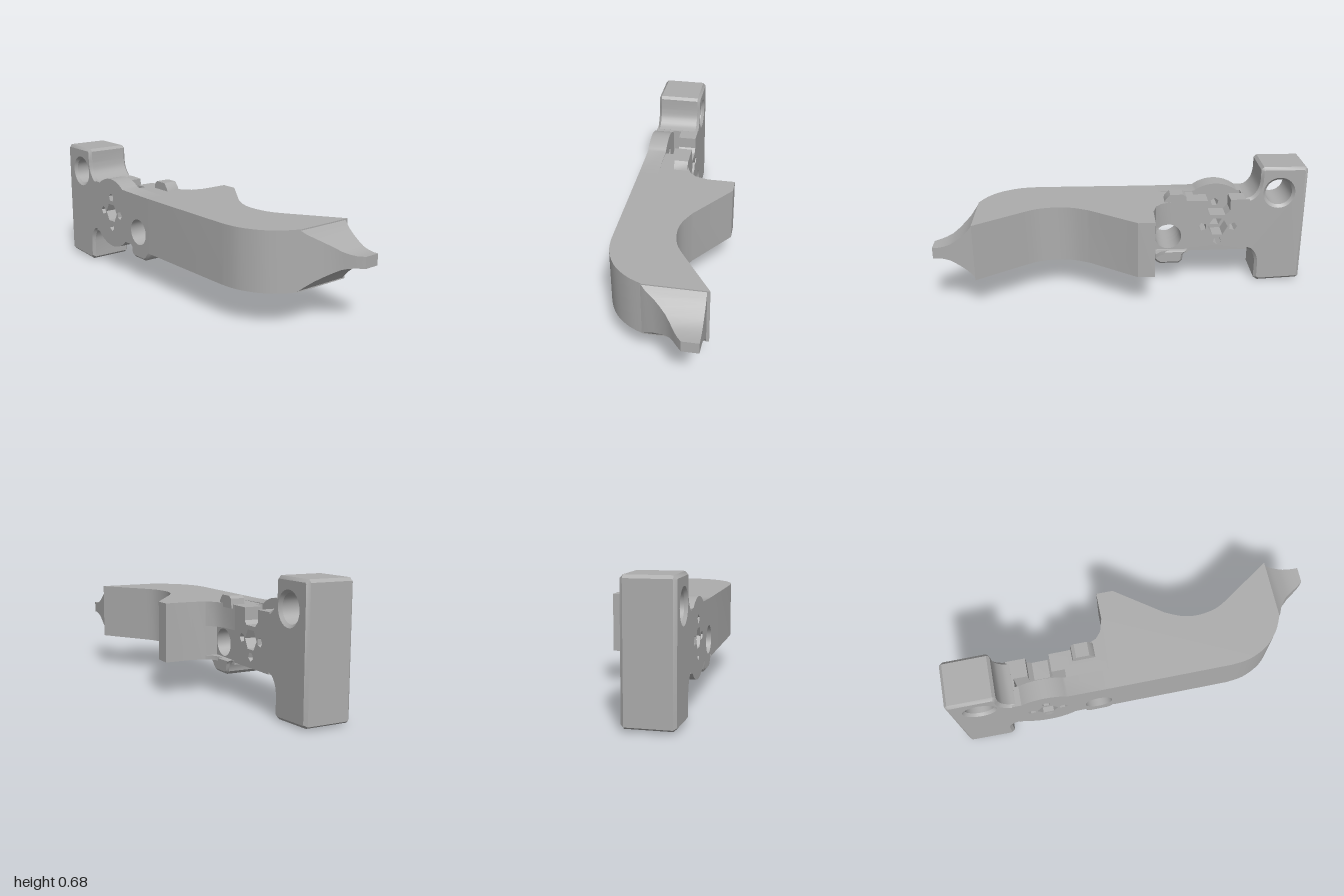
import * as THREE from 'three';
import { toCreasedNormals } from 'three/addons/utils/BufferGeometryUtils.js';

const MID_Y = 0.345;

export function createModel() {
  const model = new THREE.Group();
  const grey = new THREE.MeshStandardMaterial({ color: 0xacacac });
  grey.name = 'plain grey';

  const add = (name, geometry) => {
    const mesh = new THREE.Mesh(toCreasedNormals(geometry, 0.6), grey);
    mesh.name = name;
    model.add(mesh);
  };
  const shapeOf = (pts, holes = []) => {
    const shape = new THREE.Shape(pts.map(([a, b]) => new THREE.Vector2(a, b)));
    shape.holes = holes;
    return shape;
  };
  const spline = (pts, n = 16) =>
    new THREE.SplineCurve(pts.map(([a, b]) => new THREE.Vector2(a, b))).getPoints(n).map(p => [p.x, p.y]);
  const ring = (u, y, r, n = 32, turn = 0) => {
    const pts = [];
    for (let i = 0; i < n; i++) {
      const a = turn + i / n * Math.PI * 2;
      pts.push(new THREE.Vector2(u + r * Math.cos(a), y + r * Math.sin(a)));
    }
    return new THREE.Path(pts);
  };

  // Side outlines use u = -z and y, extruded from x0 to x1
  const sideExtrude = (name, shape, x0, x1, bevel = 0) => {
    const g = new THREE.ExtrudeGeometry(shape, {
      depth: x1 - x0 - 2 * bevel, bevelEnabled: bevel > 0, bevelSegments: 1,
      bevelSize: bevel, bevelThickness: bevel, bevelOffset: -bevel,
    });
    g.rotateY(Math.PI / 2);
    g.translate(x0 + bevel, 0, 0);
    add(name, g);
  };
  // Plan outlines use x and z, extruded from y0 to y1
  const planExtrude = (name, pts, y0, y1) => {
    const g = new THREE.ExtrudeGeometry(shapeOf(pts.map(([x, z]) => [x, -z])), { depth: y1 - y0, bevelEnabled: false });
    g.rotateX(-Math.PI / 2);
    g.translate(0, y0, 0);
    add(name, g);
  };

  // Main arm with rounded outer corner and scooped inner face
  const outer = spline([[-0.27, 0.48], [-0.255, 0.58], [-0.205, 0.68], [-0.13, 0.75], [-0.05, 0.79]]);
  const scoop = spline([[0.11, 0.555], [0.06, 0.47], [0.04, 0.37], [0.05, 0.28], [0.09, 0.19]]);
  planExtrude('arm', [
    [-0.27, -0.17], ...outer, [0.27, 0.79], ...scoop,
    [0.27, -0.06], [0.27, -0.15], [0.12, -0.15], [0.05, -0.17],
  ], 0.19, 0.5);

  // Fillet joining arm and plate, above and below the round hole
  const fillet = [[-0.1, -0.16], [-0.1, -0.36], [-0.02, -0.36], [-0.01, -0.26], [0.015, -0.2], [0.05, -0.17], [0.06, -0.16]];
  planExtrude('upperFillet', fillet, 0.37, 0.5);
  planExtrude('lowerFillet', fillet, 0.19, 0.212);

  // Pinched tip built from sections along z
  const sections = [
    [0.785, -0.06, 0.155], [0.805, -0.03, 0.13], [0.825, 0.01, 0.107], [0.85, 0.045, 0.086], [0.88, 0.08, 0.064],
    [0.91, 0.105, 0.045], [0.94, 0.125, 0.035], [0.97, 0.145, 0.03], [1.0, 0.17, 0.03],
  ];
  const pos = [], index = [];
  sections.forEach(([z, x, h], i) => {
    pos.push(x, MID_Y - h, z, 0.255, MID_Y - h, z, 0.255, MID_Y + h, z, x, MID_Y + h, z);
    if (i === 0) return;
    for (let k = 0; k < 4; k++) {
      const a = (i - 1) * 4 + k, b = (i - 1) * 4 + (k + 1) % 4;
      index.push(a, b, b + 4, a, b + 4, a + 4);
    }
  });
  const e = (sections.length - 1) * 4;
  index.push(e, e + 1, e + 2, e, e + 2, e + 3);
  const tip = new THREE.BufferGeometry();
  tip.setAttribute('position', new THREE.Float32BufferAttribute(pos, 3));
  tip.setIndex(index);
  add('tip', tip);

  // Tall end block with chamfered edges, curved neck and round hole
  const neckTop = spline([[0.67, 0.505], [0.705, 0.52], [0.735, 0.56], [0.745, 0.61]], 10);
  const neckBottom = spline([[0.742, 0.12], [0.735, 0.155], [0.71, 0.193], [0.67, 0.205]], 10);
  sideExtrude('endBlock', shapeOf([
    ...neckTop, [0.745, 0.67], [0.76, 0.685], [0.985, 0.685], [1, 0.67],
    [1, 0.025], [0.985, 0.015], [0.765, 0.004], [0.742, 0.02], ...neckBottom,
  ], [ring(0.85, 0.54, 0.073)]), -0.27, -0.02, 0.015);

  // Slotted plate: two cheeks with spacers at both ends of the slot
  const roundHole = () => ring(0.245, 0.29, 0.073);
  const pinHoles = (withTop) => {
    const holes = [ring(0.52, MID_Y, 0.056, 6, 0)];
    for (const [du, dy] of [[0.085, 0], [-0.085, 0], [0, -0.085], [0, 0.09]])
      if (withTop || dy <= 0) holes.push(ring(0.52 + du, MID_Y + dy, 0.024, 5, Math.atan2(dy, du)));
    return holes;
  };
  sideExtrude('rightCheek', shapeOf([
    [0.16, 0.2], [0.69, 0.205], [0.69, 0.505], [0.585, 0.503], [0.585, 0.44], [0.56, 0.415],
    [0.475, 0.415], [0.46, 0.435], [0.46, 0.5], [0.16, 0.5],
  ], [roundHole(), ...pinHoles(false)]), -0.12, -0.02);

  // Left cheek carries the disc rims above and below
  const arc = (from, to) => {
    const pts = [];
    for (let i = 0; i <= 16; i++) {
      const a = from + (to - from) * i / 16;
      pts.push([0.52 + 0.2 * Math.cos(a), MID_Y + 0.2 * Math.sin(a)]);
    }
    return pts;
  };
  sideExtrude('leftCheekWithDisc', shapeOf([
    [0.16, 0.2], ...arc(Math.PI + 0.79, 2 * Math.PI - 0.79), [0.69, 0.205],
    [0.69, 0.505], ...arc(0.92, Math.PI - 0.92), [0.16, 0.5],
  ], [roundHole(), ...pinHoles(true)]), -0.27, -0.165);
  sideExtrude('frontSpacer', shapeOf([[0.16, 0.2], [0.39, 0.202], [0.39, 0.5], [0.16, 0.5]], [roundHole()]), -0.165, -0.12);
  sideExtrude('rearSpacer', shapeOf([[0.66, 0.205], [0.69, 0.205], [0.69, 0.505], [0.66, 0.505]]), -0.165, -0.12);

  // Raised stops on the upper and lower edges
  sideExtrude('upperStop', shapeOf([
    [0.215, 0.48], [0.225, 0.515], [0.25, 0.543], [0.32, 0.543], [0.338, 0.53], [0.345, 0.48],
  ]), -0.085, -0.008);
  sideExtrude('lowerStop', shapeOf([
    [0.135, 0.212], [0.145, 0.185], [0.18, 0.145], [0.2, 0.133], [0.305, 0.133],
    [0.325, 0.15], [0.33, 0.185], [0.35, 0.212],
  ]), -0.265, 0.005, 0.012);

  return model;
}
